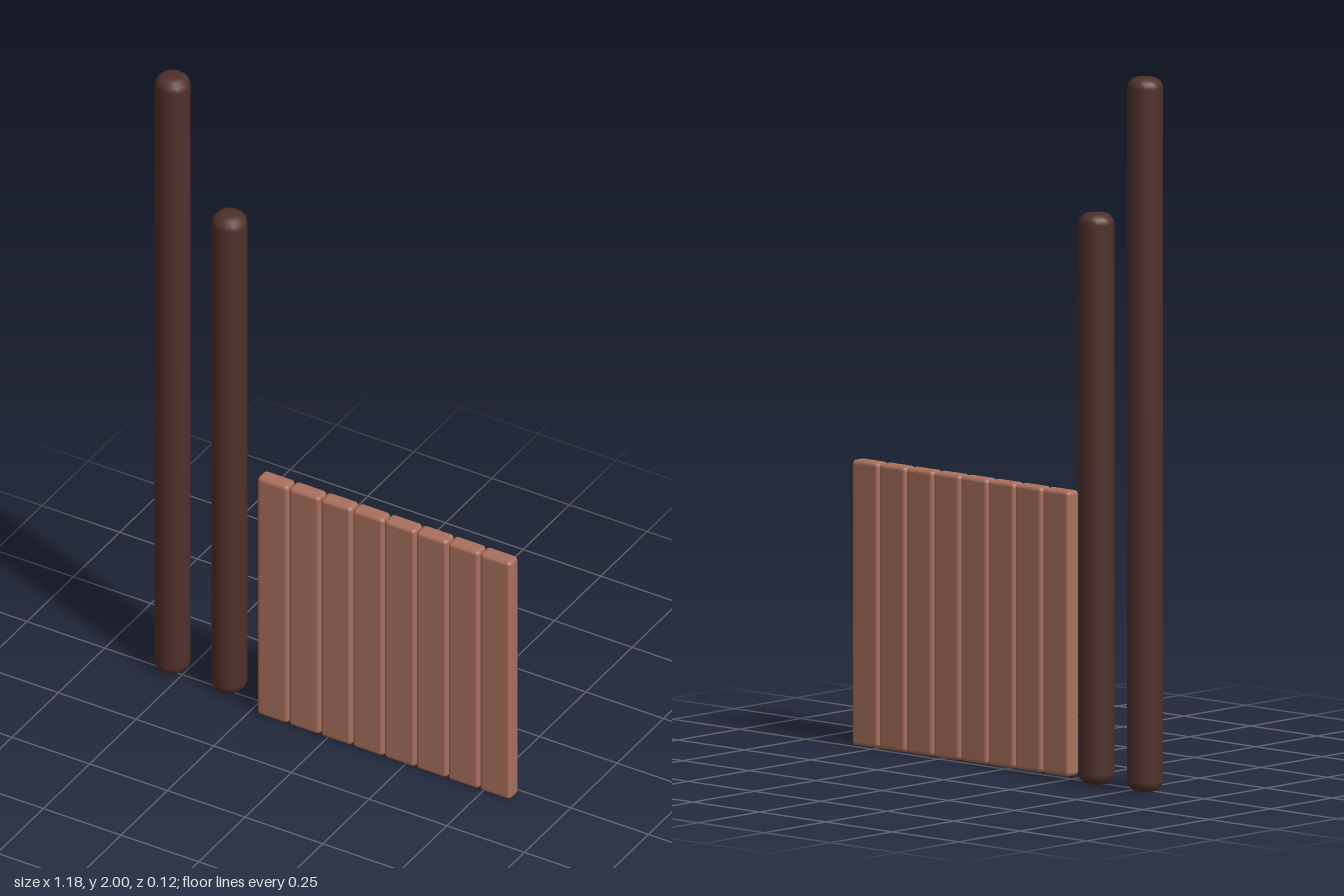
import * as THREE from 'three';
import { RoundedBoxGeometry } from 'three/addons/geometries/RoundedBoxGeometry.js';

const POST_RADIUS = 0.05;

// Round post with softly rounded ends, standing on y = 0
function makePost(name, height, x, material) {
  const bevel = 0.03;
  const profile = [new THREE.Vector2(0, 0)];
  for (const [cy, start] of [[bevel, -Math.PI / 2], [height - bevel, 0]]) {
    for (let i = 0; i <= 3; i++) {
      const a = start + (i / 3) * (Math.PI / 2);
      profile.push(new THREE.Vector2(POST_RADIUS - bevel + bevel * Math.cos(a), cy + bevel * Math.sin(a)));
    }
  }
  profile.push(new THREE.Vector2(0, height));
  const post = new THREE.Mesh(new THREE.LatheGeometry(profile, 16), material);
  post.name = name;
  post.position.set(x, 0, -0.014);
  return post;
}

export function createModel() {
  const model = new THREE.Group();
  model.name = 'fenceParts';
  const darkWood = new THREE.MeshStandardMaterial({ color: 0x50302a });
  const lightWood = new THREE.MeshStandardMaterial({ color: 0xa9705c });

  // Tall and short posts
  model.add(makePost('tallPost', 2, -0.54, darkWood));
  model.add(makePost('shortPost', 1.6, -0.357, darkWood));

  // Row of upright planks with eased edges
  const planks = new THREE.Group();
  planks.name = 'plankPanel';
  const plankGeometry = new RoundedBoxGeometry(0.1, 0.8, 0.048, 2, 0.012);
  for (let i = 0; i < 8; i++) {
    const plank = new THREE.Mesh(plankGeometry, lightWood);
    plank.name = `plank${i + 1}`;
    plank.position.set(-0.177 + i * 0.1024, 0.4, 0.035);
    planks.add(plank);
  }
  model.add(planks);
  return model;
}
